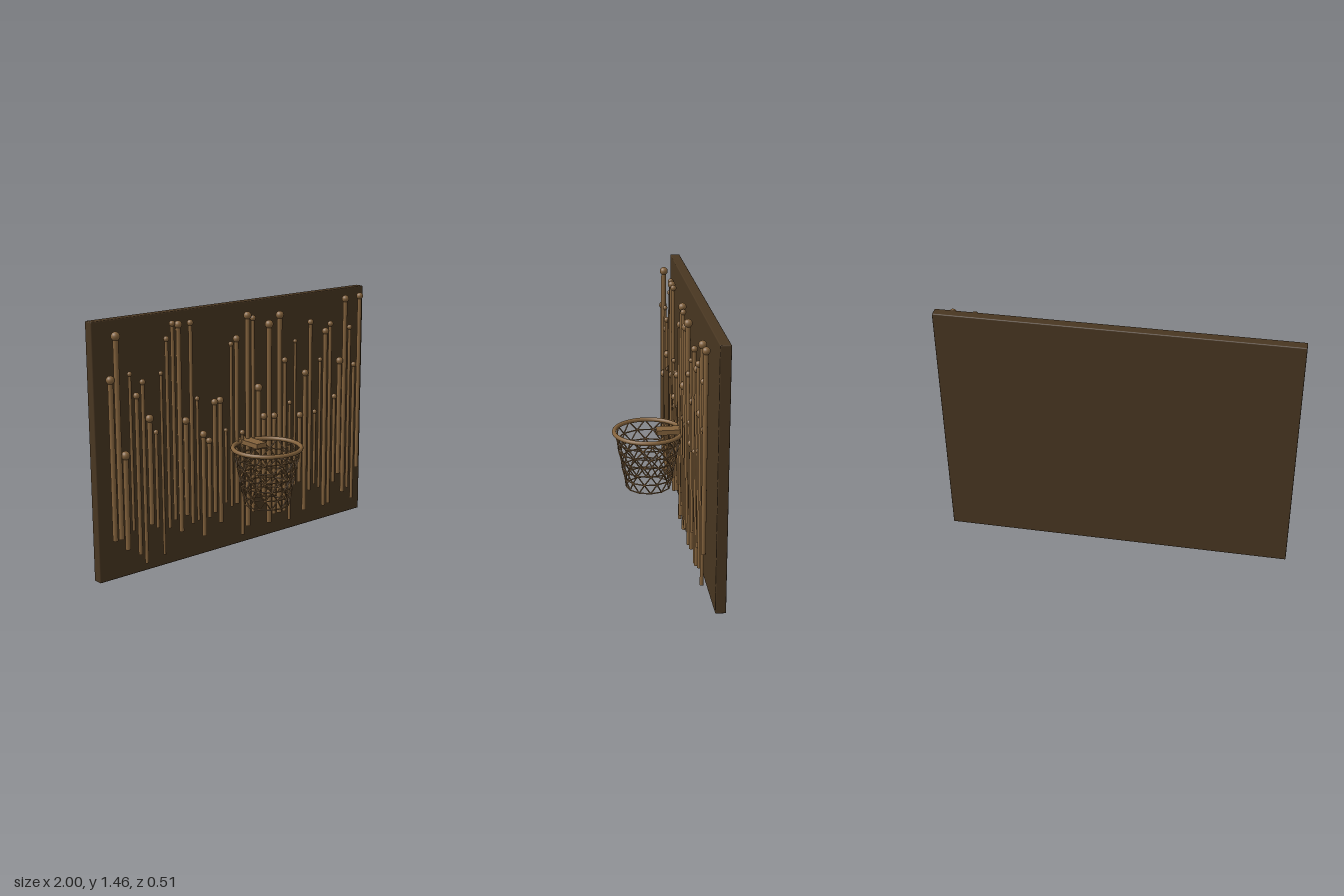
import * as THREE from 'three';
import { mergeGeometries } from 'three/addons/utils/BufferGeometryUtils.js';
import { RoundedBoxGeometry } from 'three/addons/geometries/RoundedBoxGeometry.js';

const darkWood = new THREE.MeshStandardMaterial({ color: 0x483621 });
darkWood.name = 'darkWood';
const bronze = new THREE.MeshStandardMaterial({ color: 0x83623c });
bronze.name = 'bronze';

// Row of rods, left to right as seen from the front: ball height, rod foot, ball radius (hundredths, thousandths)
const TOPS = [115, 138, 72, 116.5, 104, 111, 90, 81.5, 114, 132.5, 140.5, 139.5, 84.5, 139.5, 96, 74.5,
  70, 92, 92.5, 74, 124, 126.5, 70.5, 139, 137, 95.5, 77.5, 132, 76.5, 136.5, 109, 82.5,
  119.5, 73.5, 99, 129.5, 73.5, 105.5, 122.5, 126.5, 80.5, 102.5, 140.5, 122.5, 98.5, 141];
const FEET = [25, 25, 18, 28, 13, 7, 29, 26, 9, 24, 28, 20, 29, 23, 24, 13.5,
  24, 26, 19, 30, 27, 28, 7.5, 12, 20, 30, 26, 10.5, 15, 15, 15, 8.5,
  30, 31, 12, 24, 27, 24, 11.5, 12, 25, 30, 17, 19, 11, 31];
const RADII = [24, 25, 25, 14, 19, 17, 23, 15, 13, 16, 17, 22, 22, 18, 14, 21,
  19, 20, 21, 13, 15, 21, 16, 23, 17, 24, 21, 25, 20, 24, 18, 14,
  13, 20, 21, 18, 14, 14, 21, 18, 17, 23, 22, 16, 17, 21];
const ROD_Z = -0.145;

const HOOP = new THREE.Vector3(0, 0.65, 0.046);

function addMesh(parent, name, geometry, material) {
  const mesh = new THREE.Mesh(geometry, material);
  mesh.name = name;
  parent.add(mesh);
  return mesh;
}

// Thin straight strand between two points
function strand(a, b, radius) {
  const dir = b.clone().sub(a);
  const g = new THREE.CylinderGeometry(radius, radius, dir.length(), 6);
  g.applyQuaternion(new THREE.Quaternion().setFromUnitVectors(new THREE.Vector3(0, 1, 0), dir.normalize()));
  return g.translate((a.x + b.x) / 2, (a.y + b.y) / 2, (a.z + b.z) / 2);
}

// Tapering net: staggered rings of knots joined by diagonals and hoops
function netGeometry() {
  const rows = 6, count = 12, parts = [];
  const knot = (row, j) => {
    const t = row / rows;
    const r = THREE.MathUtils.lerp(0.194, 0.13, t);
    const a = ((j + (row % 2) / 2) / count) * Math.PI * 2;
    return new THREE.Vector3(r * Math.cos(a), -0.337 * t, r * Math.sin(a)).add(HOOP);
  };
  for (let row = 0; row <= rows; row++) {
    for (let j = 0; j < count; j++) {
      const p = knot(row, j);
      if (row > 0) parts.push(strand(p, knot(row, j + 1), 0.004));
      if (row < rows) {
        const shift = row % 2;
        parts.push(strand(p, knot(row + 1, j + shift), 0.004));
        parts.push(strand(p, knot(row + 1, j + shift - 1), 0.004));
      }
    }
  }
  return mergeGeometries(parts);
}

export function createModel() {
  const model = new THREE.Group();
  model.name = 'wallHoop';

  // Backing panel with softened edges
  addMesh(model, 'backPanel', new RoundedBoxGeometry(2, 1.46, 0.058, 2, 0.006), darkWood)
    .position.set(0, 0.73, -0.229);

  // Ball-topped rods
  const rods = new THREE.Group();
  rods.name = 'rods';
  model.add(rods);
  TOPS.forEach((top, i) => {
    const x = -0.927 + i * 0.041;
    const y = top / 100, foot = FEET[i] / 100, r = RADII[i] / 1000;
    addMesh(rods, 'rod', new THREE.CylinderGeometry(r * 0.62, r * 0.62, y - foot, 16), bronze)
      .position.set(x, (y + foot) / 2, ROD_Z);
    addMesh(rods, 'rodBall', new THREE.SphereGeometry(r, 20, 14), bronze)
      .position.set(x, y, ROD_Z);
  });

  // Hoop, its bracket and the net
  const rim = addMesh(model, 'rim', new THREE.TorusGeometry(0.197, 0.0125, 14, 64), bronze);
  rim.rotation.x = Math.PI / 2;
  rim.position.copy(HOOP);
  addMesh(model, 'bracket', new THREE.BoxGeometry(0.074, 0.029, 0.185), bronze)
    .position.set(0, 0.65, -0.0925);
  addMesh(model, 'net', netGeometry(), bronze);

  return model;
}
